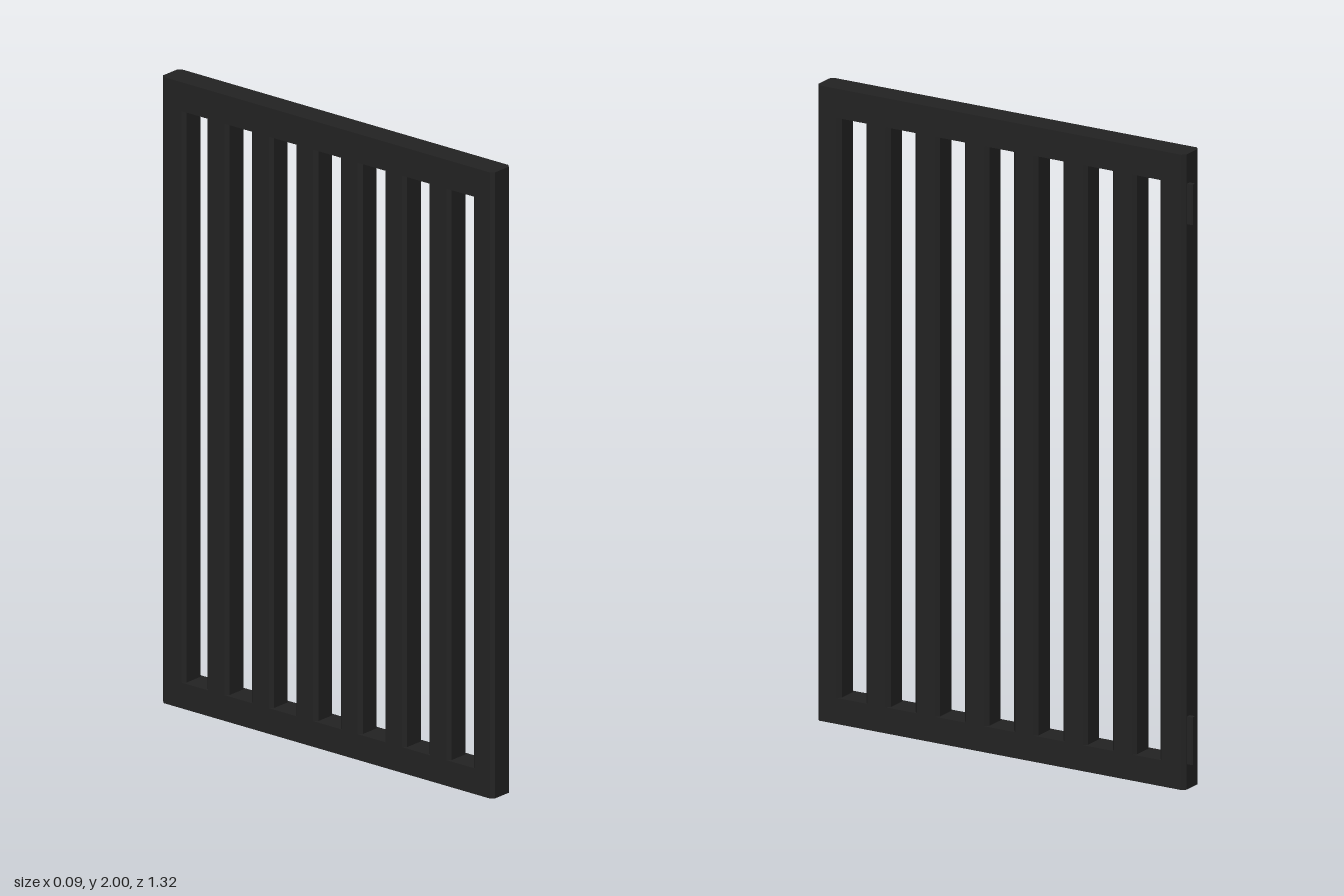
import * as THREE from 'three';

const HALF = 0.043; // half thickness of the gate in x

// Upright prism with chamfered vertical edges, from y0 to y1 and z0 to z1
function chamferedPrism(name, material, z0, z1, y0, y1, x0 = -HALF, x1 = HALF, c = 0.011) {
  const w = (x1 - x0) / 2, d = (z1 - z0) / 2;
  const shape = new THREE.Shape([
    [w - c, -d], [w, -d + c], [w, d - c], [w - c, d],
    [c - w, d], [-w, d - c], [-w, c - d], [c - w, -d],
  ].map(([x, y]) => new THREE.Vector2(x, y)));
  const geometry = new THREE.ExtrudeGeometry(shape, { depth: y1 - y0, bevelEnabled: false });
  geometry.rotateX(-Math.PI / 2);
  const mesh = new THREE.Mesh(geometry, material);
  mesh.position.set((x0 + x1) / 2, y0, (z0 + z1) / 2);
  mesh.name = name;
  return mesh;
}

export function createModel() {
  const iron = new THREE.MeshStandardMaterial({ color: 0x222222 });
  iron.name = 'dark iron';
  const gate = new THREE.Group();
  gate.name = 'barredGate';

  const front = 0.66, back = -0.64;
  const low = 0.082, high = 1.908;

  // Horizontal rails
  gate.add(chamferedPrism('bottomRail', iron, back, front, 0, low));
  gate.add(chamferedPrism('topRail', iron, back, front, high, 2));

  // Outer stiles
  gate.add(chamferedPrism('frontStile', iron, 0.577, front, low, high));
  gate.add(chamferedPrism('backStile', iron, back, -0.548, low, high));

  // Six evenly spaced bars
  for (let i = 0; i < 6; i++) {
    const z = 0.447 - i * 0.174;
    gate.add(chamferedPrism('bar', iron, z - 0.043, z + 0.043, low, high));
  }

  // Hinge leaves on the back edge
  for (const [y0, y1] of [[0.08, 0.23], [1.78, 1.907]]) {
    gate.add(chamferedPrism('hinge', iron, -0.66, back + 0.01, y0, y1, 0.014, 0.03, 0.003));
  }
  return gate;
}
